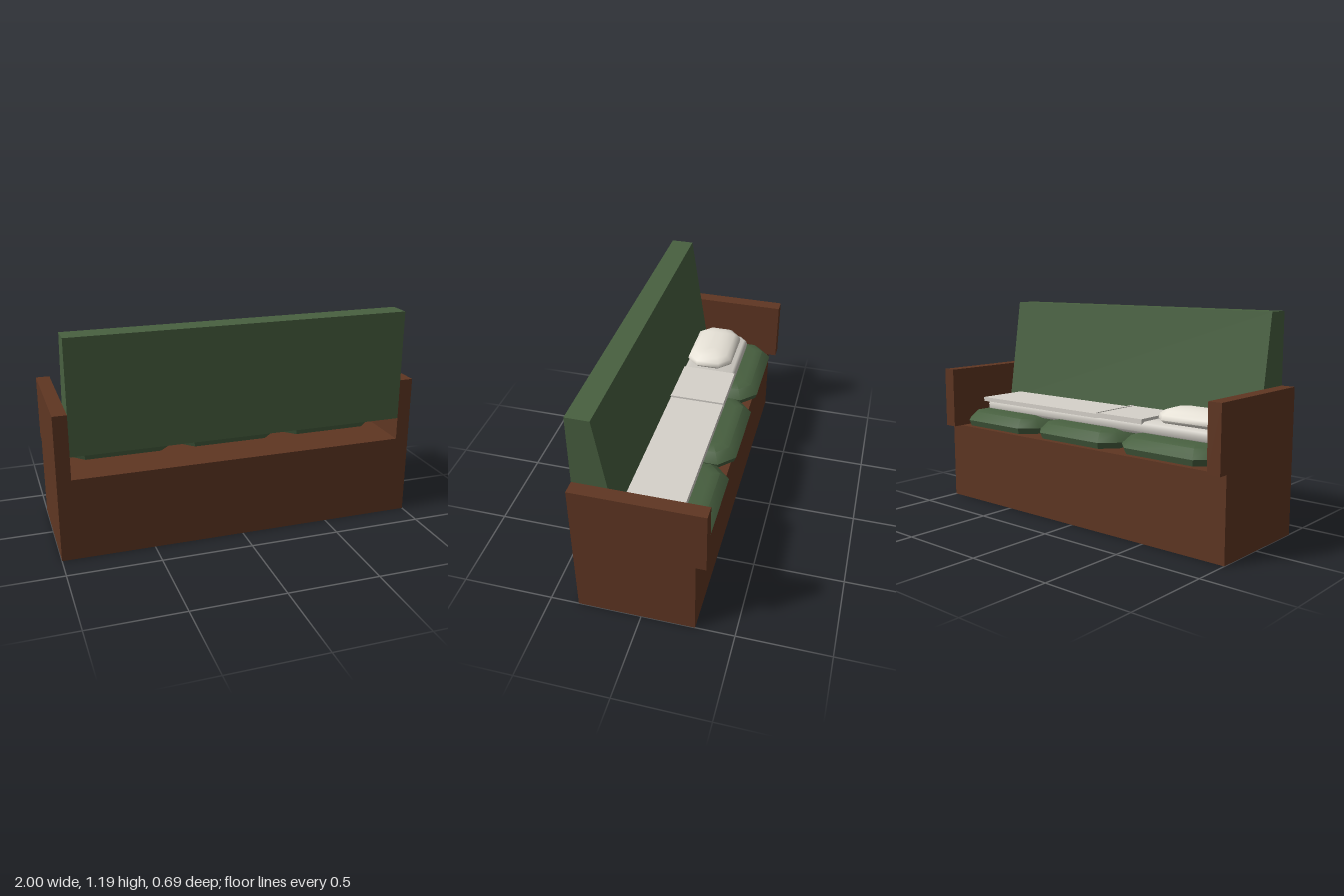
import * as THREE from 'three';
import { toCreasedNormals } from 'three/addons/utils/BufferGeometryUtils.js';

function paint(name, color, side = THREE.FrontSide) {
  const m = new THREE.MeshStandardMaterial({ color, side });
  m.name = name;
  return m;
}

// Stacked chamfered rectangles; each level is [height, inset]
function padGeometry(width, depth, chamfer, levels, crease) {
  const pos = [], index = [], n = 8;
  for (const [y, inset] of levels) {
    const w = width / 2 - inset, d = depth / 2 - inset;
    const c = Math.max(chamfer - inset * 0.5, 0.005);
    // Counter-clockwise seen from above
    for (const [x, z] of [[w, d - c], [w, c - d], [w - c, -d], [c - w, -d],
      [-w, c - d], [-w, d - c], [c - w, d], [w - c, d]]) pos.push(x, y, z);
  }
  for (let k = 0; k < levels.length - 1; k++) {
    for (let i = 0; i < n; i++) {
      const a = k * n + i, b = k * n + (i + 1) % n;
      index.push(a, b, b + n, a, b + n, a + n);
    }
  }
  const last = (levels.length - 1) * n;
  for (let i = 1; i < n - 1; i++) {
    index.push(last, last + i, last + i + 1);
    index.push(0, i + 1, i);
  }
  const g = new THREE.BufferGeometry();
  g.setAttribute('position', new THREE.Float32BufferAttribute(pos, 3));
  g.setIndex(index);
  return toCreasedNormals(g, crease);
}

export function createModel() {
  const group = new THREE.Group();
  const wood = paint('brown wood', 0x5f3622, THREE.DoubleSide);
  const green = paint('green upholstery', 0x486040);
  const linen = paint('pale linen', 0xd6d2ca);
  const white = paint('warm white', 0xeae5da);

  const add = (name, geometry, material, x = 0, y = 0, z = 0) => {
    const mesh = new THREE.Mesh(geometry, material);
    mesh.name = name;
    mesh.position.set(x, y, z);
    group.add(mesh);
    return mesh;
  };
  // Box given by its limits
  const box = (name, material, x0, x1, y0, y1, z0, z1) =>
    add(name, new THREE.BoxGeometry(x1 - x0, y1 - y0, z1 - z0), material,
      (x0 + x1) / 2, (y0 + y1) / 2, (z0 + z1) / 2);

  // Hollow base, open underneath
  const base = box('base', wood, -1, 1, 0, 0.45, -0.29, 0.345);
  const faces = Array.from(base.geometry.index.array);
  faces.splice(18, 6);
  base.geometry.setIndex(faces);
  base.geometry.clearGroups();

  // Armrests overhang the seat edge
  box('leftArm', wood, 0.925, 1, 0.45, 0.8, -0.345, 0.345);
  box('rightArm', wood, -1, -0.925, 0.45, 0.8, -0.345, 0.345);

  // Wedge backrest: the profile is drawn in (-z, y) and extruded along x
  const profile = new THREE.Shape([[-0.345, 0.575], [-0.125, 0.575], [-0.22, 1.19], [-0.345, 1.19]]
    .map(([x, y]) => new THREE.Vector2(x, y)));
  const back = new THREE.ExtrudeGeometry(profile, { depth: 1.85, bevelEnabled: false });
  back.translate(0, 0, -0.925);
  back.rotateY(Math.PI / 2);
  add('backrest', back, green);

  // Three seat cushions
  const cushion = padGeometry(0.595, 0.47, 0.085,
    [[0.466, 0.012], [0.5, 0], [0.547, 0.045], [0.557, 0.09]], 0.6);
  for (const x of [-0.612, -0.005, 0.602]) add('seatCushion', cushion, green, x, 0, -0.085);

  // Bedding: mattress, blanket, turned-down sheet
  add('mattress', padGeometry(1.71, 0.335, 0.05,
    [[0.545, 0.012], [0.56, 0.002], [0.585, 0], [0.604, 0.006], [0.613, 0.02]], 0.9),
  linen, -0.005, 0, -0.005);
  box('blanket', linen, -0.09, 0.84, 0.598, 0.622, -0.177, 0.16);
  box('foldedSheet', linen, -0.4, -0.09, 0.602, 0.629, -0.178, 0.16);
  box('foldRidge', linen, -0.1, -0.085, 0.6, 0.633, -0.179, 0.16);

  // Pillow
  add('pillow', padGeometry(0.41, 0.27, 0.065,
    [[0.61, 0.02], [0.63, 0], [0.655, 0.008], [0.675, 0.035], [0.688, 0.075], [0.692, 0.11]], 1.2),
  white, -0.635, 0, 0);

  return group;
}
